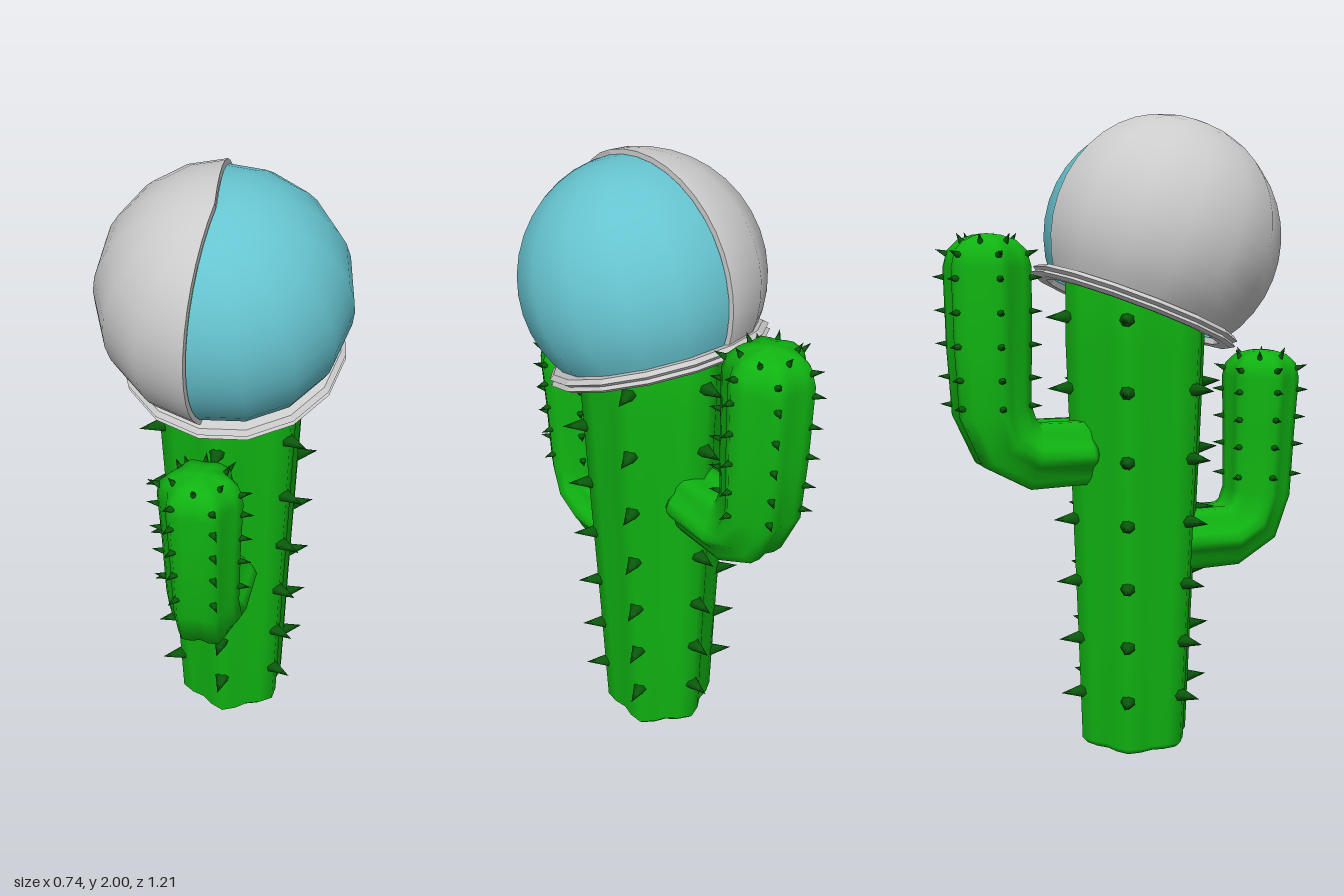
import * as THREE from 'three';
import { mergeGeometries } from 'three/addons/utils/BufferGeometryUtils.js';

const rad = THREE.MathUtils.degToRad;
const green = new THREE.MeshStandardMaterial({ color: 0x10b412 });
const darkGreen = new THREE.MeshStandardMaterial({ color: 0x0a5a0c });
const grey = new THREE.MeshStandardMaterial({ color: 0xcccccc, side: THREE.DoubleSide });
const greyFlat = new THREE.MeshStandardMaterial({ color: 0xcccccc, side: THREE.DoubleSide, flatShading: true });
const teal = new THREE.MeshStandardMaterial({ color: 0x66c4d0, side: THREE.DoubleSide });

// Six-ribbed stem swept through sections [y, z, radius]; phase sets the angle of the first rib
function ribbedStem(sections, phase, valley) {
  const n = 24, pos = [], idx = [];
  sections.forEach(([y, z, r], i) => {
    const a = sections[Math.max(i - 1, 0)];
    const b = sections[Math.min(i + 1, sections.length - 1)];
    const len = Math.hypot(b[0] - a[0], b[1] - a[1]);
    const ty = (b[0] - a[0]) / len, tz = (b[1] - a[1]) / len;
    for (let j = 0; j < n; j++) {
      const t = (j / n) * Math.PI * 2;
      const q = r * (valley + (1 - valley) * (1 + Math.cos(6 * t)) / 2);
      const u = q * Math.cos(t + phase), v = q * Math.sin(t + phase);
      pos.push(u, y - tz * v, z + ty * v);
      if (i < sections.length - 1) {
        const k = (j + 1) % n, p = i * n, s = p + n;
        idx.push(p + j, s + j, p + k, p + k, s + j, s + k);
      }
    }
  });
  const g = new THREE.BufferGeometry();
  g.setAttribute('position', new THREE.Float32BufferAttribute(pos, 3));
  g.setIndex(idx);
  g.computeVertexNormals();
  return g;
}

// Centre z and radius of an upright stem at height y
function stemAt(sections, y) {
  for (let i = sections.length - 1; i > 0; i--) {
    const a = sections[i - 1], b = sections[i];
    if (y >= a[0] && y <= b[0] && b[0] > a[0]) {
      const t = (y - a[0]) / (b[0] - a[0]);
      return { z: a[1] + (b[1] - a[1]) * t, r: a[2] + (b[2] - a[2]) * t };
    }
  }
  return { z: 0, r: 0 };
}

// One cone spike pointing out of the stem, lifted by an angle on domes
function spike(sections, y, angle, lift, radius, length, inset = 1) {
  const { z, r } = stemAt(sections, y);
  const dir = new THREE.Vector3(Math.cos(angle) * Math.cos(lift), Math.sin(lift), Math.sin(angle) * Math.cos(lift));
  const g = new THREE.ConeGeometry(radius, length, 7);
  g.translate(0, length / 2 - 0.012, 0);
  g.applyQuaternion(new THREE.Quaternion().setFromUnitVectors(new THREE.Vector3(0, 1, 0), dir));
  g.translate(Math.cos(angle) * r * inset, y, z + Math.sin(angle) * r * inset);
  return g;
}

function createArm(name, sections, rows, ridgeTop, domeTop) {
  const arm = new THREE.Group();
  arm.name = name;
  const stem = new THREE.Mesh(ribbedStem(sections, 0, 0.82), green);
  stem.name = name + 'Stem';
  const parts = [];
  for (let k = 0; k < 6; k++) {
    const a = k * Math.PI / 3;
    for (const y of rows) parts.push(spike(sections, y, a, 0, 0.013, 0.046));
    parts.push(spike(sections, ridgeTop, a, 0.35, 0.013, 0.048));
    parts.push(spike(sections, domeTop, a + Math.PI / 6, 1.0, 0.012, 0.04, 0.85));
  }
  const spikes = new THREE.Mesh(mergeGeometries(parts), darkGreen);
  spikes.name = name + 'Spikes';
  arm.add(stem, spikes);
  return arm;
}

// Profile of a sphere from the cut height up to the pole
function arc(r, cut, steps = 14) {
  const end = Math.acos(cut / r), pts = [];
  for (let i = 0; i <= steps; i++) {
    const t = end * (1 - i / steps);
    pts.push(new THREE.Vector2(Math.max(r * Math.sin(t), 0), r * Math.cos(t)));
  }
  return pts;
}

function createCap() {
  const cap = new THREE.Group();
  cap.name = 'cap';
  cap.position.set(0, 1.624, 0.115);
  cap.rotation.x = rad(22);
  const cut = -0.232;
  const add = (name, geometry, material) => {
    const m = new THREE.Mesh(geometry, material);
    m.name = name;
    cap.add(m);
    return m;
  };
  add('greyShell', new THREE.LatheGeometry(arc(0.378, cut), 7, rad(186), rad(168)), grey);
  add('tealShell', new THREE.LatheGeometry(arc(0.364, cut), 8, rad(-6), rad(192)), teal).position.x = 0.003;
  // Edge strips closing the step between the two shells
  const strip = new THREE.ShapeGeometry(new THREE.Shape([...arc(0.378, cut), ...arc(0.355, cut).reverse()]));
  for (const phi of [186, 354]) add('shellEdge', strip, grey).rotation.y = rad(phi - 90);
  // Grooved rim around the opening
  const rim = [[0.288, -0.25], [0.325, -0.252], [0.34, -0.243], [0.328, -0.234], [0.34, -0.225],
    [0.325, -0.213], [0.288, -0.213], [0.288, -0.25]].map(([x, y]) => new THREE.Vector2(x, y));
  add('rim', new THREE.LatheGeometry(rim, 15, rad(-6)), greyFlat);
  return cap;
}

export function createModel() {
  const model = new THREE.Group();
  model.name = 'cactus';

  // Trunk, widening upwards with a domed top under the cap
  const trunkSections = [[0, 0.03, 0], [0.001, 0.03, 0.165], [0.02, 0.03, 0.183], [0.45, 0.032, 0.2],
    [0.9, 0.034, 0.22], [1.3, 0.035, 0.237], [1.5, 0.035, 0.237], [1.58, 0.035, 0.2], [1.63, 0.035, 0.12], [1.645, 0.035, 0]];
  const trunk = new THREE.Mesh(ribbedStem(trunkSections, Math.PI / 2, 0.84), green);
  trunk.name = 'trunk';
  const parts = [];
  for (let k = 0; k < 6; k++) {
    const a = Math.PI / 2 + k * Math.PI / 3;
    for (const y of [0.18, 0.36, 0.55, 0.75, 0.95, 1.165, 1.385]) {
      if (y > 1.2 && Math.sin(a) > 0) continue;
      parts.push(spike(trunkSections, y, a, 0, 0.024, 0.078));
    }
  }
  const trunkSpikes = new THREE.Mesh(mergeGeometries(parts), darkGreen);
  trunkSpikes.name = 'trunkSpikes';
  model.add(trunk, trunkSpikes);

  // Two bent arms
  const frontArm = [[0.655, 0.169, 0], [0.655, 0.17, 0.1], [0.655, 0.19, 0.112], [0.655, 0.36, 0.112], [0.7, 0.435, 0.114],
    [0.79, 0.468, 0.112], [1.0, 0.474, 0.118], [1.17, 0.478, 0.126], [1.215, 0.478, 0.116], [1.245, 0.478, 0.085], [1.257, 0.478, 0.045], [1.26, 0.478, 0]];
  const backArm = [[0.965, -0.129, 0], [0.965, -0.13, 0.1], [0.965, -0.15, 0.114], [0.965, -0.32, 0.118], [1.01, -0.4, 0.122],
    [1.11, -0.443, 0.125], [1.3, -0.448, 0.132], [1.54, -0.45, 0.136], [1.59, -0.45, 0.122], [1.62, -0.45, 0.09], [1.635, -0.45, 0.045], [1.64, -0.45, 0]];
  model.add(
    createArm('frontArm', frontArm, [0.85, 0.95, 1.04, 1.13], 1.2, 1.24),
    createArm('backArm', backArm, [1.125, 1.21, 1.31, 1.41, 1.51], 1.58, 1.618),
    createCap());
  return model;
}
